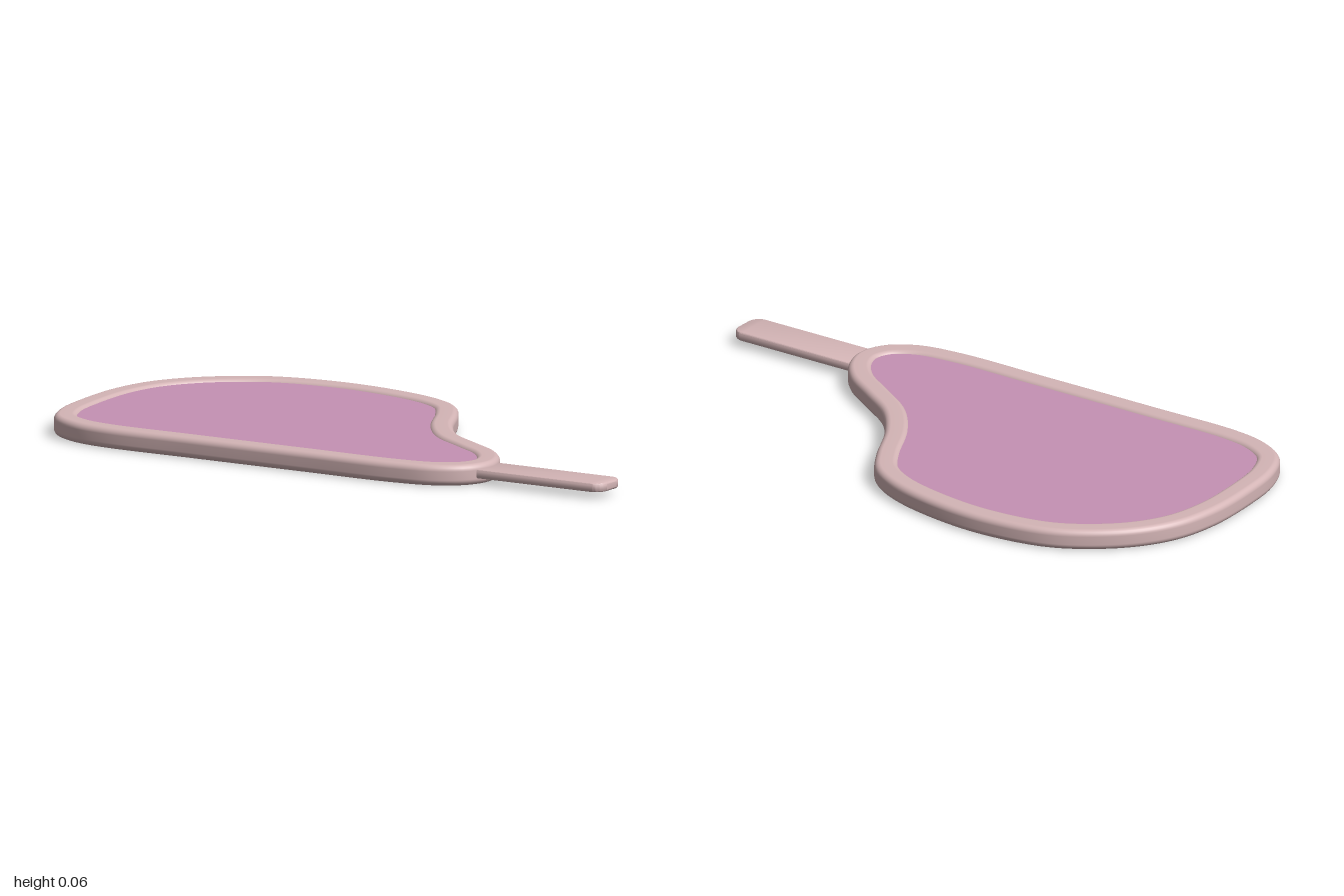
import * as THREE from 'three';
import { toCreasedNormals } from 'three/addons/utils/BufferGeometryUtils.js';

// Outer outline of the cut, seen from above as [x, z]
const OUTLINE = [
  [-1, -0.03], [-0.972, -0.18], [-0.905, -0.3], [-0.8, -0.4], [-0.67, -0.47], [-0.45, -0.502],
  [-0.235, -0.48], [-0.075, -0.432], [0.02, -0.37], [0.085, -0.275], [0.165, -0.12], [0.26, 0],
  [0.38, 0.083], [0.49, 0.158], [0.555, 0.24], [0.577, 0.325], [0.545, 0.41], [0.46, 0.47],
  [0.32, 0.495], [0, 0.497], [-0.4, 0.497], [-0.7, 0.495], [-0.82, 0.47], [-0.915, 0.41],
  [-0.97, 0.3], [-0.994, 0.15],
];
const STEPS = 180;
const HEIGHT = 0.064;
const RIM = 0.073;

// Outline points with their inward directions
function sampleOutline() {
  const curve = new THREE.CatmullRomCurve3(
    OUTLINE.map(([x, z]) => new THREE.Vector3(x, 0, z)), true, 'centripetal');
  return Array.from({ length: STEPS }, (_, i) => {
    const p = curve.getPointAt(i / STEPS);
    const t = curve.getTangentAt(i / STEPS);
    return { p, inX: -t.z, inZ: t.x };
  });
}

// Rounded rectangle section swept round the outline
function rimGeometry(samples) {
  const section = [];
  const r = 0.019, arc = 6;
  const corners = [[RIM - r, HEIGHT - r], [r, HEIGHT - r], [r, r], [RIM - r, r]];
  corners.forEach(([u, y], c) => {
    for (let k = 0; k <= arc; k++) {
      const a = (c + k / arc) * Math.PI / 2;
      section.push([u + r * Math.cos(a), y + r * Math.sin(a)]);
    }
  });
  const n = section.length, positions = [], index = [];
  samples.forEach(({ p, inX, inZ }, i) => {
    const next = (i + 1) % STEPS;
    section.forEach(([u, y], j) => {
      positions.push(p.x + inX * u, y, p.z + inZ * u);
      const a = i * n + j, b = next * n + j;
      const c = i * n + (j + 1) % n, d = next * n + (j + 1) % n;
      index.push(a, b, c, b, d, c);
    });
  });
  const g = new THREE.BufferGeometry();
  g.setAttribute('position', new THREE.Float32BufferAttribute(positions, 3));
  g.setIndex(index);
  g.computeVertexNormals();
  return g;
}

// Flat slab filling the inside of the rim
function fillingGeometry(samples) {
  const inset = RIM * 0.6, low = 0.008;
  const shape = new THREE.Shape(samples.map(({ p, inX, inZ }) =>
    new THREE.Vector2(p.x + inX * inset, -(p.z + inZ * inset))));
  const g = new THREE.ExtrudeGeometry(shape, { depth: HEIGHT - 2 * low, bevelEnabled: false });
  return g.rotateX(-Math.PI / 2).translate(0, low, 0);
}

// Flat bar with rounded corners and softened edges
function boneGeometry() {
  const b = 0.007, x0 = 0.53, x1 = 1 - b, y0 = -0.383 + b, y1 = -0.253 - b, r = 0.033;
  const s = new THREE.Shape();
  s.moveTo(x0, y0);
  s.lineTo(x1 - r, y0);
  s.absarc(x1 - r, y0 + r, r, -Math.PI / 2, 0);
  s.lineTo(x1, y1 - r);
  s.absarc(x1 - r, y1 - r, r, 0, Math.PI / 2);
  s.lineTo(x0, y1);
  const g = new THREE.ExtrudeGeometry(s, {
    depth: 0.014, bevelSize: b, bevelThickness: b, bevelSegments: 4, curveSegments: 10,
  });
  return toCreasedNormals(g.rotateX(-Math.PI / 2).translate(0, 0.027, 0), 0.7);
}

export function createModel() {
  const fat = new THREE.MeshStandardMaterial({ color: 0xd4b5b6 });
  fat.name = 'pale fat';
  const meat = new THREE.MeshStandardMaterial({ color: 0xc692b4 });
  meat.name = 'pink meat';

  const group = new THREE.Group();
  group.name = 'steak';
  const add = (name, geometry, material) => {
    const mesh = new THREE.Mesh(geometry, material);
    mesh.name = name;
    group.add(mesh);
  };
  const samples = sampleOutline();
  add('fatRim', rimGeometry(samples), fat);
  add('meat', fillingGeometry(samples), meat);
  add('bone', boneGeometry(), fat);
  return group;
}
